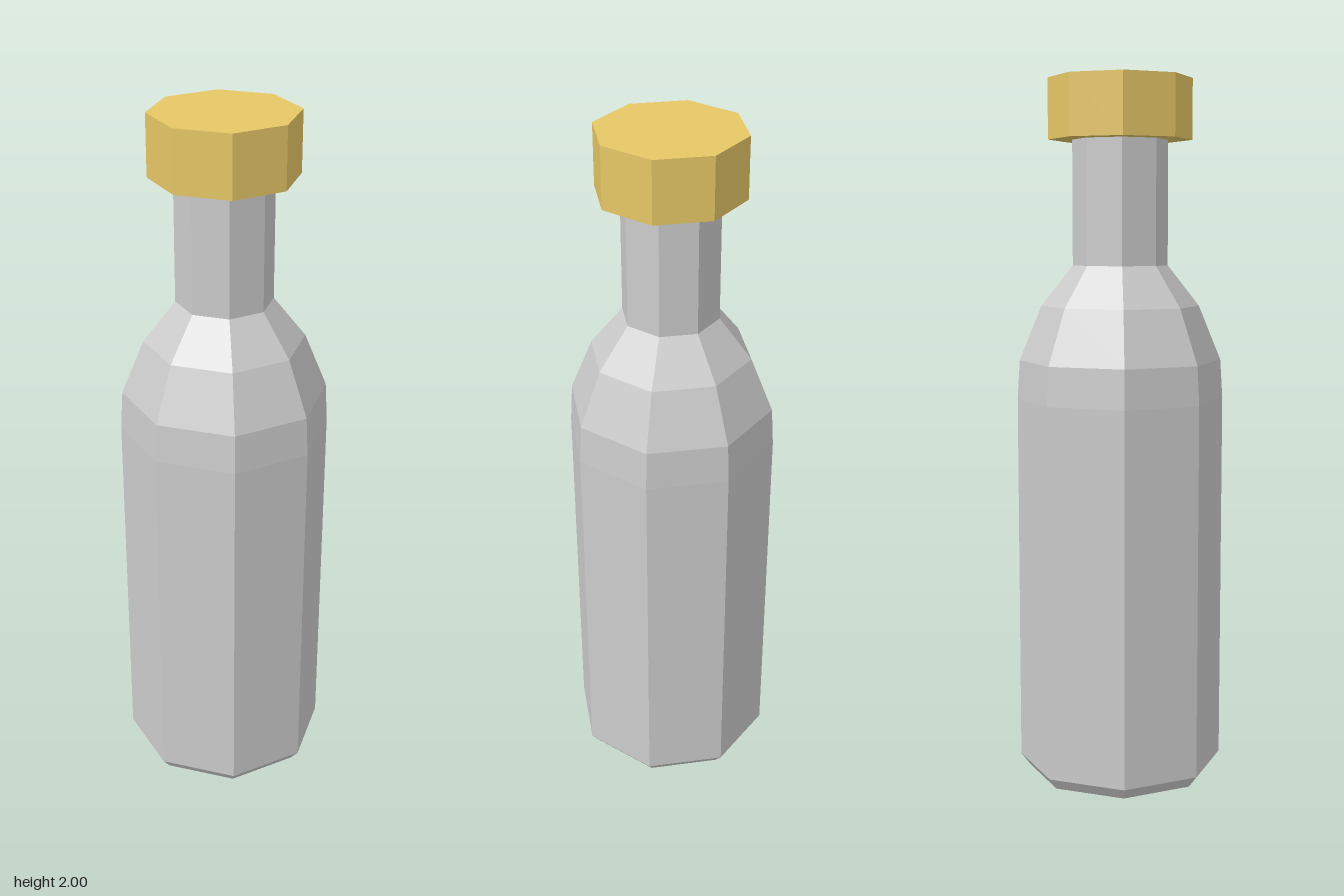
import * as THREE from 'three';

const SIDES = 8;

// Faceted solid of revolution from [radius, height] pairs, bottom to top
function turned(name, profile, color) {
  const points = profile.map(([r, y]) => new THREE.Vector2(r, y));
  const material = new THREE.MeshStandardMaterial({ color, flatShading: true });
  const mesh = new THREE.Mesh(new THREE.LatheGeometry(points, SIDES), material);
  mesh.name = name;
  return mesh;
}

export function createModel() {
  const bottle = new THREE.Group();
  bottle.name = 'bottle';

  // Base, chamfer, straight wall, rounded shoulder and neck
  bottle.add(turned('bottleBody', [
    [0, 0], [0.268, 0], [0.295, 0.035], [0.295, 1.1], [0.288, 1.21],
    [0.225, 1.365], [0.135, 1.48], [0.135, 1.84], [0, 1.84],
  ], 0xcccccc));

  // Octagonal cap closing the neck
  bottle.add(turned('cap', [[0, 1.83], [0.203, 1.83], [0.203, 2], [0, 2]], 0xe6c766));

  return bottle;
}
